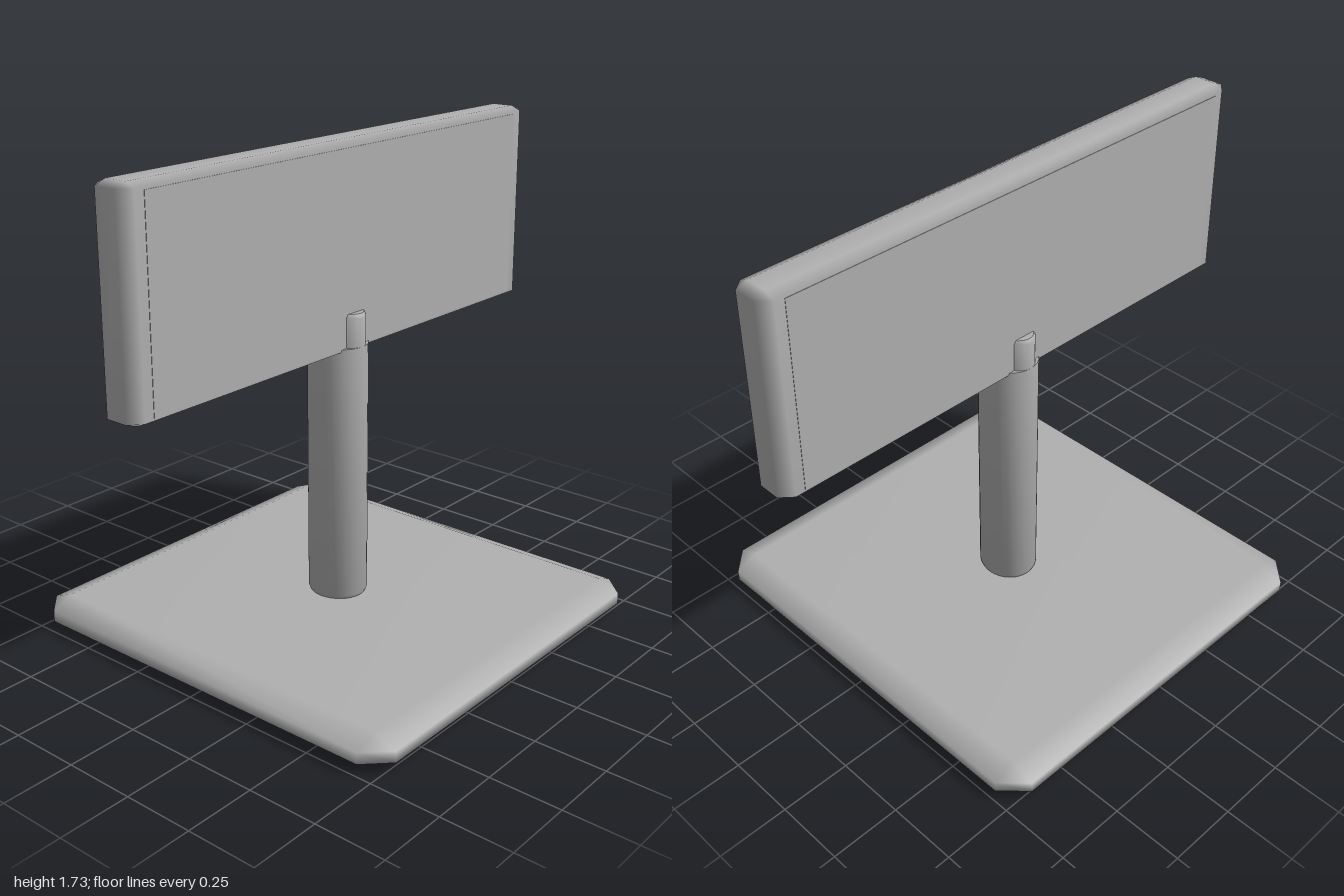
import * as THREE from 'three';
import { mergeVertices, toCreasedNormals } from 'three/addons/utils/BufferGeometryUtils.js';
import { ConvexGeometry } from 'three/addons/geometries/ConvexGeometry.js';

// Box with chamfered edges and corners: half sizes h, chamfer c per axis
function chamferBox(h, c) {
  const points = [];
  for (const sx of [-1, 1]) for (const sy of [-1, 1]) for (const sz of [-1, 1]) {
    for (let full = 0; full < 3; full++) {
      const [x, y, z] = h.map((v, i) => (i === full ? v : v - c[i]));
      points.push(new THREE.Vector3(sx * x, sy * y, sz * z));
    }
  }
  const geo = new ConvexGeometry(points);
  geo.deleteAttribute('normal');
  const smooth = mergeVertices(geo, 1e-4);
  smooth.computeVertexNormals();
  return smooth;
}

// Oval column turned from a profile of [radius, height] pairs
function ovalColumn(profile, rx, rz) {
  const geo = new THREE.LatheGeometry(profile.map(([r, y]) => new THREE.Vector2(r, y)), 32);
  geo.scale(rx, 1, rz);
  geo.deleteAttribute('normal');
  return toCreasedNormals(geo, 0.6);
}

export function createModel() {
  const group = new THREE.Group();
  const grey = new THREE.MeshStandardMaterial({ color: 0xb0b0b0 });
  grey.name = 'grey';

  function add(name, geometry, x = 0, y = 0, z = 0) {
    const mesh = new THREE.Mesh(geometry, grey);
    mesh.name = name;
    mesh.position.set(x, y, z);
    group.add(mesh);
  }

  // Floor plate
  add('base', chamferBox([0.74, 0.054, 0.774], [0.083, 0.034, 0.085]), 0, 0.054);

  // Post, with a narrower tongue gripping the board
  add('post', ovalColumn([[0, 0.1], [0.92, 0.105], [1, 0.122], [1, 1.034], [0, 1.034]], 0.1, 0.108));
  add('postTongue', ovalColumn([[0, 1.0], [1, 1.0], [1, 1.138], [0.93, 1.15], [0, 1.15]], 0.07, 0.108));

  // Sign board with a flat face plate on both sides
  add('board', chamferBox([1, 0.359, 0.076], [0.042, 0.016, 0.036]), 0, 1.368);
  for (const side of [1, -1]) {
    add(side > 0 ? 'frontPlate' : 'backPlate',
      new THREE.BoxGeometry(1.845, 0.67, 0.004), 0, 1.368, side * 0.0755);
  }
  return group;
}
